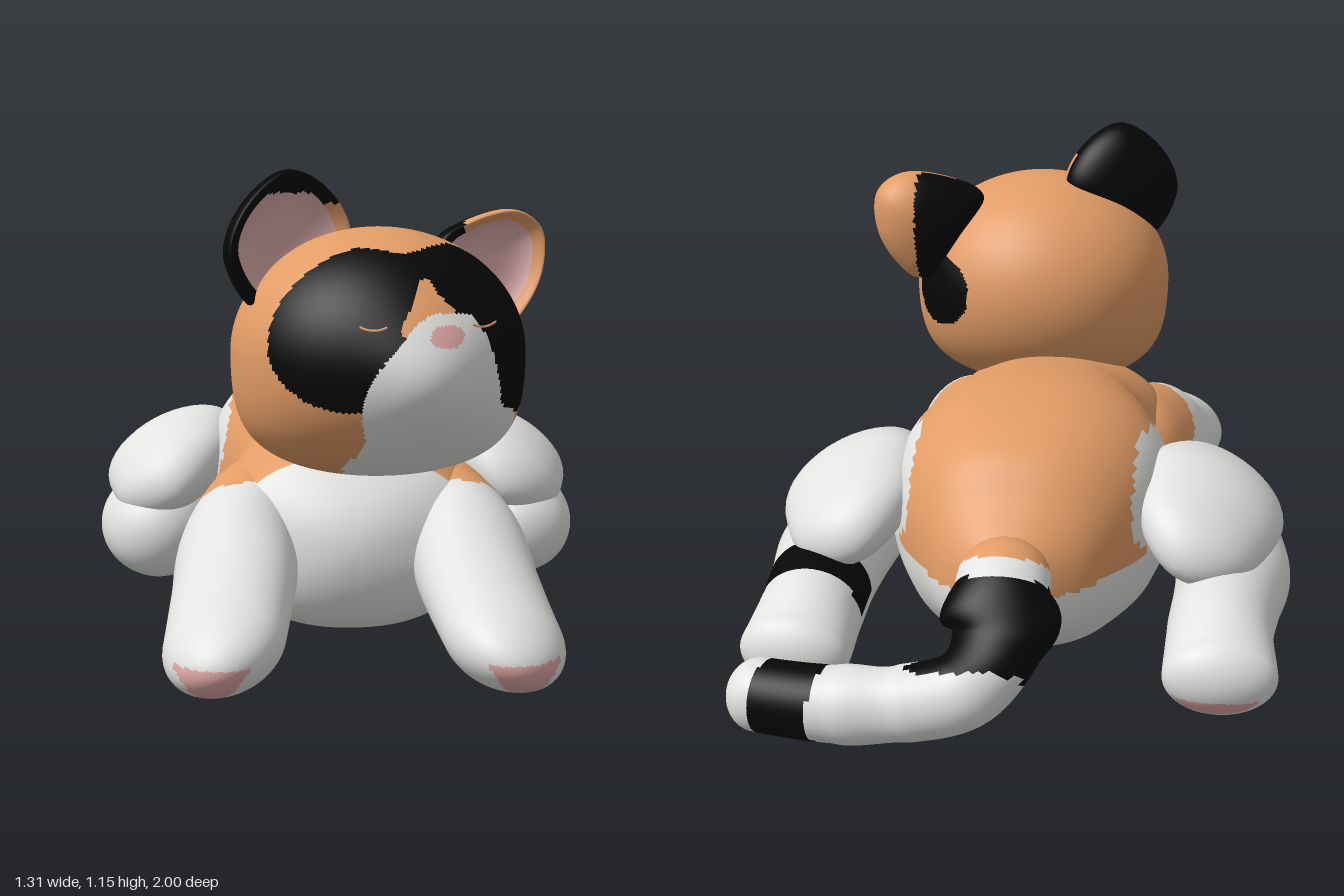
import * as THREE from 'three';

const WHITE = 0, ORANGE = 1, BLACK = 2, EAR = 3, PAD = 4;
const materials = [
  ['white fur', 0xe2e2e0], ['orange fur', 0xe29c66], ['black fur', 0x070707],
  ['ear pink', 0xdcabab], ['pad pink', 0xdfa8a6],
].map(([name, color]) => {
  const m = new THREE.MeshStandardMaterial({ color });
  m.name = name;
  return m;
});

// Closed surface from fn(u, v), wrapping in u; each cell takes the colour paint(p, u, v)
function surface(name, fn, nu, nv, paint) {
  const pts = [], cells = [], buckets = materials.map(() => []);
  for (let j = 0; j <= nv; j++)
    for (let i = 0; i < nu; i++) pts.push(fn(i / nu, j / nv));
  let volume = 0;
  for (let j = 0; j < nv; j++)
    for (let i = 0; i < nu; i++) {
      const k = (i + 1) % nu;
      const a = j * nu + i, b = j * nu + k, c = (j + 1) * nu + k, d = (j + 1) * nu + i;
      volume += pts[a].dot(pts[b].clone().cross(pts[c])) + pts[a].dot(pts[c].clone().cross(pts[d]));
      const mid = pts[a].clone().add(pts[b]).add(pts[c]).add(pts[d]).divideScalar(4);
      cells.push([[a, b, c, a, c, d], paint(mid, (i + 0.5) / nu, (j + 0.5) / nv)]);
    }
  for (const [corners, colour] of cells) buckets[colour].push(...(volume < 0 ? corners.reverse() : corners));
  const geo = new THREE.BufferGeometry().setFromPoints(pts);
  geo.setIndex(buckets.flat());
  let start = 0;
  buckets.forEach((b, n) => {
    if (b.length) geo.addGroup(start, b.length, n);
    start += b.length;
  });
  geo.computeVertexNormals();
  const mesh = new THREE.Mesh(geo, materials);
  mesh.name = name;
  return mesh;
}

// Rounded limb through sections [x, y, z, radius across, radius up]; s mirrors x,
// lean slopes the cross-section down towards the outside, power < 1 makes it boxier
function limb(name, sections, cap, paint, { s = 1, nu = 56, nv = 90, lean = 0, power = 1 } = {}) {
  const path = new THREE.CatmullRomCurve3(sections.map((p) => new THREE.Vector3(s * p[0], p[1], p[2])));
  const size = new THREE.CatmullRomCurve3(sections.map((p) => new THREE.Vector3(p[3], p[4], 0)));
  const round = (d) => (d < cap ? Math.sqrt(Math.max(0, 1 - (1 - d / cap) ** 2)) : 1);
  const full = (c) => Math.sign(c) * Math.abs(c) ** power;
  return surface(name, (u, v) => {
    const t = (1 - Math.cos(Math.PI * v)) / 2, a = u * Math.PI * 2;
    const dir = path.getTangent(t);
    const side = new THREE.Vector3(0, 1, 0).cross(dir).normalize();
    const up = dir.clone().cross(side);
    const r = size.getPoint(t).multiplyScalar(round(t) * round(1 - t));
    const across = full(Math.cos(a)) * r.x;
    const p = path.getPoint(t).addScaledVector(side, across).addScaledVector(up, full(Math.sin(a)) * r.y);
    p.y -= lean * s * side.x * across;
    return p;
  }, nu, nv, paint);
}

const outline = (pts) => new THREE.CatmullRomCurve3(pts.map(([x, y]) => new THREE.Vector3(x, y, 0)), true);

// Test for a point inside a smooth closed outline
function region(pts) {
  const poly = outline(pts).getPoints(80);
  return (p) => {
    let inside = false;
    for (let i = 0, j = poly.length - 1; i < poly.length; j = i++) {
      const a = poly[i], b = poly[j];
      if (a.y > p.y !== b.y > p.y && p.x < ((b.x - a.x) * (p.y - a.y)) / (b.y - a.y) + a.x) inside = !inside;
    }
    return inside;
  };
}
const oval = (x, y, cx, cy, rx, ry) => ((x - cx) / rx) ** 2 + ((y - cy) / ry) ** 2 < 1;

// Orange saddle over the back and shoulders
function coat(p) {
  if (p.z > 0.43 || (Math.abs(p.x) > 0.27 && oval(p.z, p.y, -0.28, 0.4, 0.24, 0.135))) return WHITE;
  const edge = p.z > 0.15 ? 0.21 + (p.z - 0.15) * 0.76 : p.z > -0.05 ? 0.22 : 0.29;
  return p.y > edge ? ORANGE : WHITE;
}

// Head: an ellipsoid with full cheeks below and a soft muzzle bump
const C = new THREE.Vector3(0.06, 0.73, 0.41), R = new THREE.Vector3(0.35, 0.295, 0.33);
function headPoint(nx, ny, nz) {
  const cheek = ny < 0 ? 1 + 0.38 * ny * ny : 1;
  const p = new THREE.Vector3(nx * cheek, ny, nz).multiply(R).add(C);
  const d = (p.x - 0.18) ** 2 + (p.y - 0.69) ** 2;
  p.z += 0.05 * Math.exp(-d / 0.02) * Math.max(0, nz);
  return p;
}
function facePoint(x, y) {
  const nx = (x - C.x) / R.x, ny = (y - C.y) / R.y;
  return headPoint(nx, ny, Math.sqrt(1 - nx * nx - ny * ny));
}
const muzzle = region([[0.13, 0.835], [0.19, 0.85], [0.25, 0.84], [0.29, 0.78], [0.315, 0.7], [0.33, 0.63],
  [0.37, 0.6], [0.36, 0.5], [0.28, 0.38], [0.1, 0.38], [-0.03, 0.42], [-0.03, 0.48], [0.01, 0.55],
  [0, 0.64], [0.03, 0.72], [0.08, 0.78]]);
const mask = region([[0.1, 0.975], [0, 0.985], [-0.11, 0.935], [-0.19, 0.84], [-0.2, 0.73], [-0.13, 0.655],
  [-0.03, 0.63], [0.1, 0.65], [0.3, 0.63], [0.39, 0.595], [0.5, 0.6], [0.52, 0.8], [0.42, 0.96], [0.21, 0.99]]);
const blaze = region([[0.145, 0.925], [0.115, 0.87], [0.085, 0.81], [0.15, 0.8], [0.215, 0.84], [0.175, 0.89]]);

function facePaint(p) {
  if (p.x > 0.2 && oval(p.z, p.y, 0.2, 0.74, 0.08, 0.095)) return BLACK;
  if (p.z < 0.365) return ORANGE;
  if (oval(p.x, p.y, 0.19, 0.8, 0.04, 0.025)) return PAD;
  if (p.z > 0.43 && muzzle(p)) return WHITE;
  if (blaze(p)) return ORANGE;
  const front = p.z > 0.53 || oval(p.z, p.y, 0.53, 0.8, 0.165, 0.205);
  return front && mask(p) ? BLACK : ORANGE;
}

// Cupped ear: dished front and bulging back inside an outline, on a slanted plane
function ear(name, pts, z0, slope, paint) {
  const curve = outline(pts);
  const mid = new THREE.Vector3();
  pts.forEach(([x, y]) => mid.add(new THREE.Vector3(x, y, 0).divideScalar(pts.length)));
  return surface(name, (u, v) => {
    const front = v < 0.5, s = front ? v * 2 : 2 - 2 * v;
    const p = mid.clone().lerp(curve.getPoint(u), Math.sin(s * Math.PI / 2));
    const depth = front ? -0.02 + 0.035 * Math.sin(Math.PI * s ** 3) + 0.02 * s ** 3
      : -0.085 * Math.cos(s * Math.PI / 2);
    p.z = z0 + slope * (p.x - mid.x) + depth;
    p.x += depth * 0.4;
    return p;
  }, 72, 48, paint);
}

export function createModel() {
  const model = new THREE.Group();
  model.name = 'lyingCat';

  model.add(limb('body', [
    [0, 0.34, -0.75, 0.1, 0.09], [0, 0.315, -0.62, 0.2, 0.19], [0, 0.315, -0.5, 0.28, 0.27],
    [0, 0.32, -0.37, 0.335, 0.305], [0, 0.325, -0.22, 0.355, 0.315], [0, 0.315, -0.06, 0.325, 0.305],
    [0, 0.3, 0.1, 0.285, 0.288], [0, 0.285, 0.26, 0.32, 0.262], [0, 0.27, 0.42, 0.3, 0.215],
    [0, 0.28, 0.56, 0.2, 0.16],
  ], 0.1, coat, { nu: 96, nv: 110, power: 0.88 }));

  for (const s of [1, -1]) {
    const side = s > 0 ? 'left' : 'right';
    // Front leg with a triangular pad on the paw tip
    model.add(limb(side + 'FrontLeg', [
      [0.16, 0.34, 0.1, 0.12, 0.1], [0.225, 0.305, 0.25, 0.14, 0.15], [0.275, 0.245, 0.42, 0.145, 0.165],
      [0.285, 0.2, 0.58, 0.145, 0.135], [0.305, 0.145, 0.8, 0.137, 0.11], [0.32, 0.115, 0.995, 0.13, 0.09],
    ], 0.18, (p) => {
      const pad = p.z > 0.88 && p.y > 0.04 && p.y < 0.13 && Math.abs(s * p.x - 0.335) < 0.08 * (p.y - 0.01) / 0.11;
      return pad ? PAD : coat(p);
    }, { s, lean: 0.15 }));
    // Folded hind leg: thigh above, shank and foot below
    model.add(limb(side + 'Thigh', [
      [0.43, 0.3, 0.01, 0.1, 0.085], [0.45, 0.34, -0.12, 0.15, 0.105], [0.455, 0.37, -0.27, 0.175, 0.11],
      [0.425, 0.35, -0.42, 0.155, 0.1], [0.38, 0.305, -0.56, 0.11, 0.09],
    ], 0.2, () => WHITE, { s, nu: 40, nv: 40, lean: 0.35 }));
    model.add(limb(side + 'HindFoot', [
      [0.45, 0.21, 0.01, 0.11, 0.11], [0.485, 0.185, -0.12, 0.14, 0.13], [0.51, 0.17, -0.28, 0.143, 0.137],
      [0.5, 0.17, -0.45, 0.13, 0.128], [0.49, 0.165, -0.6, 0.125, 0.122], [0.495, 0.135, -0.72, 0.132, 0.1],
      [0.5, 0.12, -0.81, 0.135, 0.09],
    ], 0.13, (p) => {
      if (p.z < -0.775 && p.y < 0.095) return PAD;
      const band = p.z < -0.49 && p.z > -0.62 && p.y > 0.17;
      const sole = p.z < -0.57 && p.z > -0.775 && p.y < 0.075;
      return s > 0 && (band || sole) ? BLACK : WHITE;
    }, { s }));
  }

  // Banded tail curling round to the left
  model.add(limb('tail', [
    [0, 0.37, -0.64, 0.1, 0.09], [0, 0.325, -0.77, 0.11, 0.09], [0, 0.24, -0.85, 0.11, 0.09],
    [0.06, 0.15, -0.895, 0.09, 0.09], [0.2, 0.11, -0.915, 0.085, 0.088], [0.36, 0.095, -0.912, 0.085, 0.088],
    [0.5, 0.092, -0.895, 0.083, 0.086], [0.615, 0.092, -0.87, 0.08, 0.085],
  ], 0.09, (p) => {
    const q = -p.z - p.y, band = p.x + 0.33 * (p.z + 0.9);
    if (p.x < 0.2 && q < 0.36) return ORANGE;
    const base = p.x < (p.y > 0.2 ? 0.2 : 0.11) && q > 0.43 && q < 0.74;
    return base || (band > 0.38 && band < 0.53) ? BLACK : WHITE;
  }, { nu: 48, nv: 110 }));

  const head = new THREE.Group();
  head.name = 'head';
  head.add(surface('face', (u, v) => {
    const a = u * Math.PI * 2, t = v * Math.PI;
    return headPoint(Math.sin(t) * Math.cos(a), Math.sin(t) * Math.sin(a), Math.cos(t));
  }, 180, 130, facePaint));

  head.add(ear('rightEar', [[-0.22, 0.83], [-0.3, 0.96], [-0.26, 1.08], [-0.155, 1.16], [-0.06, 1.11],
    [-0.01, 1.0], [-0.1, 0.88]], 0.445, -0.56, (p, u, v) => {
    if (v < 0.295 && p.y < 1.105) return EAR;
    return v < 0.5 && p.x > -0.08 && p.y < 1.08 ? ORANGE : BLACK;
  }));
  head.add(ear('leftEar', [[0.21, 0.98], [0.28, 1.03], [0.41, 1.055], [0.475, 1.01], [0.48, 0.91],
    [0.44, 0.82], [0.38, 0.765], [0.28, 0.82]], 0.235, -0.44, (p, u, v) => {
    if (v < 0.285) return EAR;
    return p.x < (v > 0.5 ? 0.37 : 0.28) ? BLACK : ORANGE;
  }));

  // Closed eyes: thin curved lines
  for (const [name, x] of [['rightEye', 0.025], ['leftEye', 0.28]]) {
    const pts = [-0.03, -0.015, 0, 0.015, 0.03].map((d) => facePoint(x + d, 0.815 + d * d * 8));
    const eye = new THREE.Mesh(
      new THREE.TubeGeometry(new THREE.CatmullRomCurve3(pts), 12, 0.003, 6), materials[ORANGE]);
    eye.name = name;
    head.add(eye);
  }
  model.add(head);
  return model;
}
